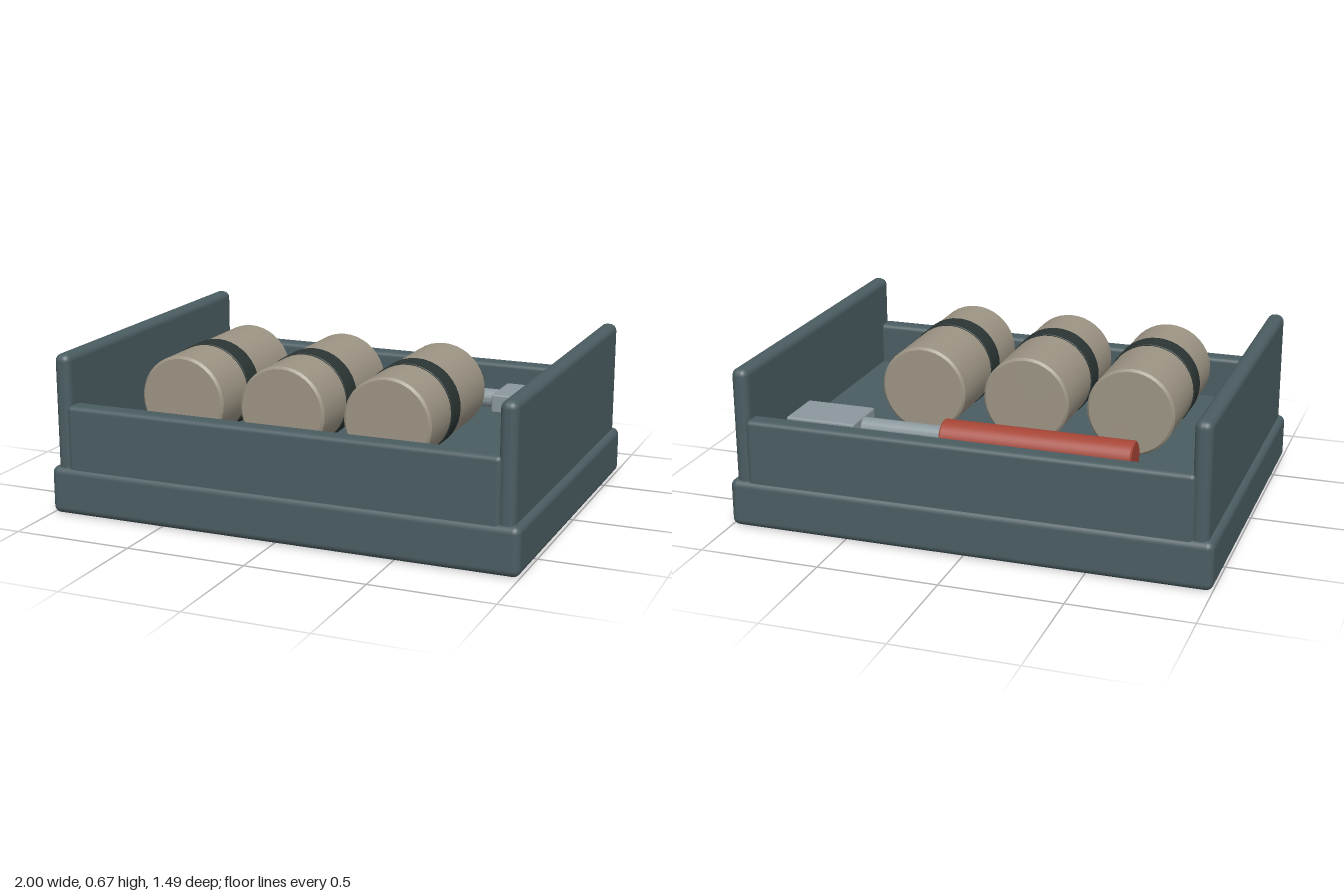
import * as THREE from 'three';
import { RoundedBoxGeometry } from 'three/addons/geometries/RoundedBoxGeometry.js';
import { toCreasedNormals } from 'three/addons/utils/BufferGeometryUtils.js';

function material(name, color) {
  const m = new THREE.MeshStandardMaterial({ color });
  m.name = name;
  return m;
}

export function createModel() {
  const group = new THREE.Group();
  group.name = 'supplyTray';
  const teal = material('slate teal', 0x4b5d62);
  const canvas = material('canvas beige', 0x9c9484);
  const strap = material('dark strap', 0x2b3533);
  const red = material('handle red', 0xa54536);
  const steel = material('steel grey', 0x8b989d);

  const add = (name, geometry, mat, x, y, z) => {
    const mesh = new THREE.Mesh(geometry, mat);
    mesh.name = name;
    mesh.position.set(x, y, z);
    group.add(mesh);
    return mesh;
  };
  const box = (name, w, h, d, r, mat, x, y, z) =>
    add(name, new RoundedBoxGeometry(w, h, d, 4, r), mat, x, y, z);

  // Solid cylinder with slightly bevelled rims, centred on its y axis
  const rod = (radius, length, bevel) => {
    const h = length / 2;
    const profile = [
      [0, -h], [radius - bevel, -h], [radius, -h + bevel],
      [radius, h - bevel], [radius - bevel, h], [0, h],
    ].map(([x, y]) => new THREE.Vector2(x, y));
    return toCreasedNormals(new THREE.LatheGeometry(profile, 40), 0.6);
  };

  // Tray: base slab, raised floor, two tall sides, two low lips
  box('base', 2, 0.2, 1.49, 0.03, teal, 0, 0.1, 0);
  add('floor', new THREE.BoxGeometry(1.84, 0.13, 1.34), teal, 0, 0.215, 0);
  for (const s of [1, -1]) {
    box(s > 0 ? 'leftWall' : 'rightWall', 0.07, 0.52, 1.46, 0.03, teal, s * 0.94, 0.41, 0);
    box(s > 0 ? 'frontLip' : 'backLip', 1.84, 0.31, 0.085, 0.02, teal, 0, 0.305, s * 0.692);
  }

  // Three rolls lying front to back, each with a strap
  for (const x of [-0.52, -0.075, 0.375]) {
    add('roll', rod(0.184, 0.66, 0.01).rotateX(Math.PI / 2), canvas, x, 0.465, 0.16);
    add('rollStrap', rod(0.189, 0.104, 0.002).rotateX(Math.PI / 2), strap, x, 0.465, 0.21);
  }

  // Hand tool lying across the back
  add('toolHandle', rod(0.072, 0.8, 0.006).rotateZ(Math.PI / 2), red, -0.205, 0.365, -0.405);
  add('toolShaft', rod(0.04, 0.38, 0.002).rotateZ(Math.PI / 2), steel, 0.37, 0.365, -0.405);
  box('toolHead', 0.3, 0.08, 0.22, 0.008, steel, 0.695, 0.37, -0.405);

  return group;
}
